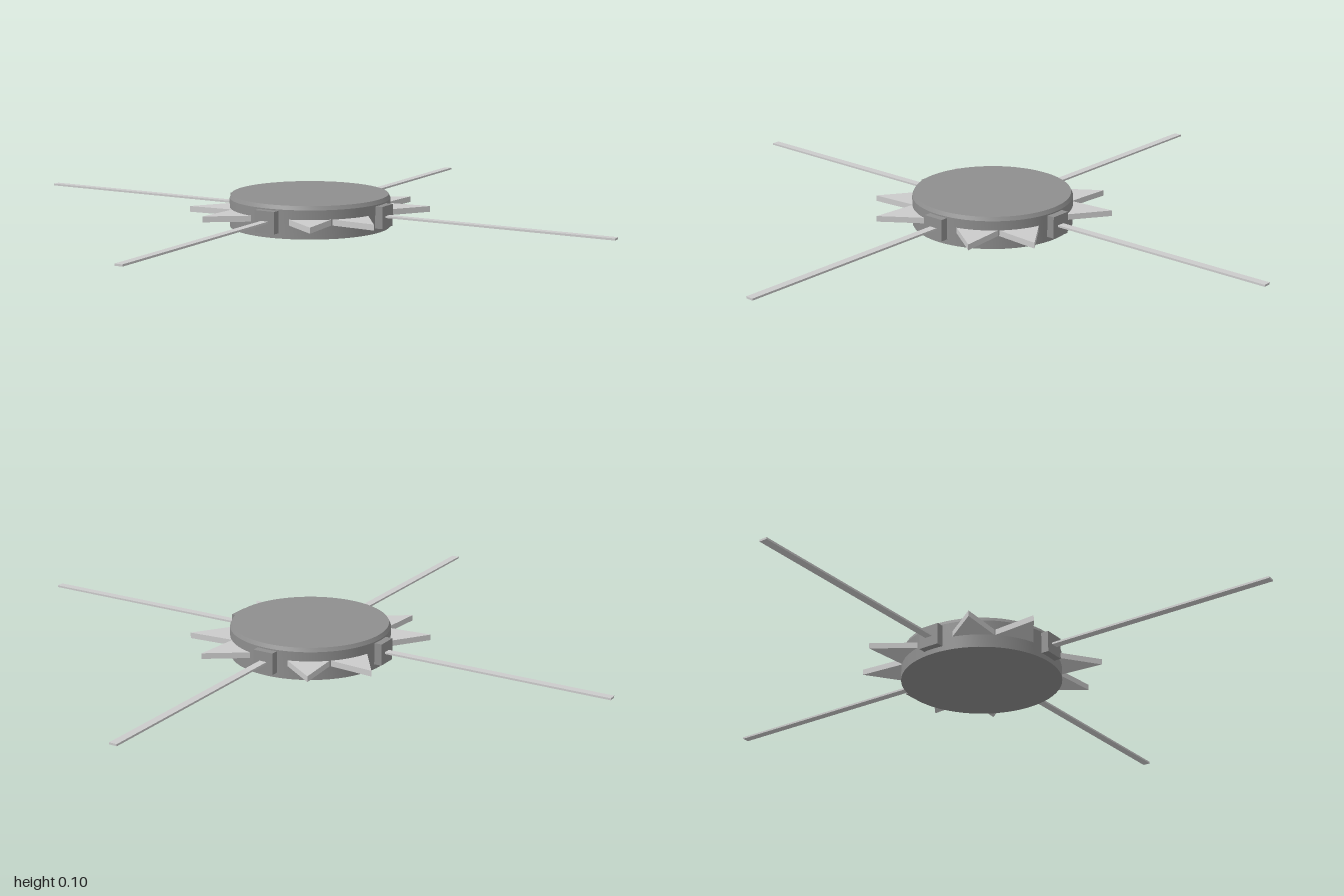
import * as THREE from 'three';
import { toCreasedNormals } from 'three/addons/utils/BufferGeometryUtils.js';

const MID = 0.05; // height of the ring of spikes and arms

export function createModel() {
  const model = new THREE.Group();
  const light = new THREE.MeshStandardMaterial({ color: 0xcccccc });
  const dark = new THREE.MeshStandardMaterial({ color: 0x8e8e8e });

  const add = (name, geometry, material, parent) => {
    const mesh = new THREE.Mesh(geometry, material);
    mesh.name = name;
    parent.add(mesh);
    return mesh;
  };

  // Round dark body with a small chamfer around the top rim
  const profile = [[0, 0], [0.25, 0], [0.25, 0.088], [0.244, 0.1], [0, 0.1]]
    .map(([r, y]) => new THREE.Vector2(r, y));
  add('body', toCreasedNormals(new THREE.LatheGeometry(profile, 64), 0.4), dark, model);

  // Flat triangular spike pointing along +x
  const triangle = new THREE.Shape([
    new THREE.Vector2(0.235, -0.066),
    new THREE.Vector2(0.374, 0),
    new THREE.Vector2(0.235, 0.066),
  ]);
  const spikeGeometry = new THREE.ExtrudeGeometry(triangle, { depth: 0.018, bevelEnabled: false });
  spikeGeometry.translate(0, 0, -0.009).rotateX(-Math.PI / 2);

  // Bracket on the rim and the long thin strip leaving it
  const bracketGeometry = new THREE.BoxGeometry(0.04, 0.068, 0.068).translate(0.252, 0, 0);
  const armGeometry = new THREE.BoxGeometry(0.76, 0.006, 0.025).translate(0.62, 0, 0);

  // Four identical quarters: one arm with its bracket, then two spikes
  for (let i = 0; i < 4; i++) {
    const quarter = new THREE.Group();
    quarter.name = 'quarter';
    quarter.position.y = MID;
    quarter.rotation.y = i * Math.PI / 2;
    add('bracket', bracketGeometry, dark, quarter);
    add('arm', armGeometry, light, quarter);
    for (const angle of [30, 60]) {
      add('spike', spikeGeometry, light, quarter).rotation.y = THREE.MathUtils.degToRad(angle);
    }
    model.add(quarter);
  }
  return model;
}
